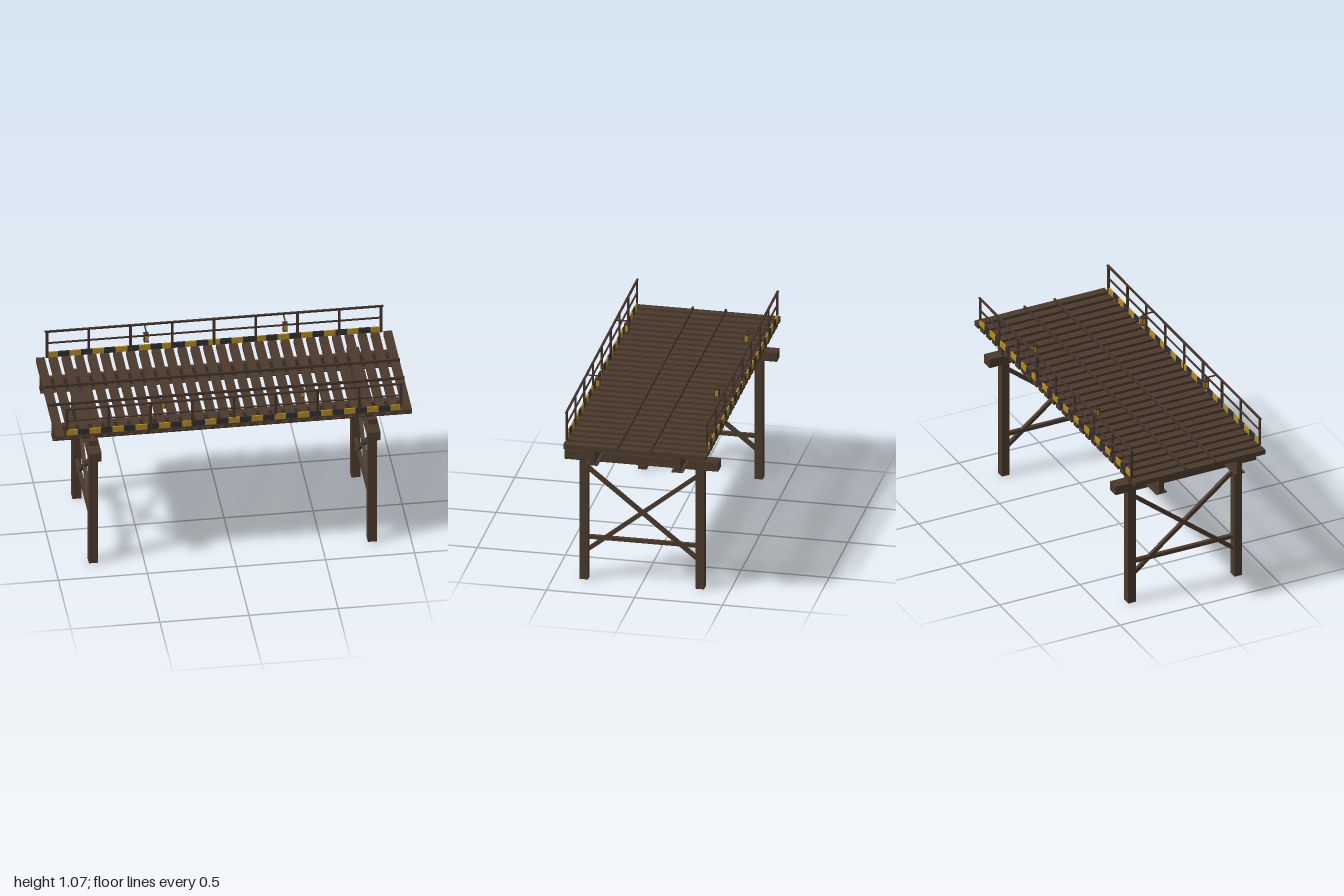
import * as THREE from 'three';

const mat = (name, color) => {
  const m = new THREE.MeshStandardMaterial({ color });
  m.name = name;
  return m;
};

export function createModel() {
  const wood = mat('dark timber', 0x4b3a2c);
  const iron = mat('rusty iron', 0x43342a);
  const yellow = mat('warning yellow', 0xb08a20);
  const black = mat('warning black', 0x2e2e30);
  const glass = mat('lamp glass', 0xb58a1c);

  const model = new THREE.Group();
  model.name = 'trestleBridge';

  // Box given by its size and centre
  const box = (parent, name, material, w, h, d, x, y, z) => {
    const mesh = new THREE.Mesh(new THREE.BoxGeometry(w, h, d), material);
    mesh.name = name;
    mesh.position.set(x, y, z);
    parent.add(mesh);
    return mesh;
  };

  // Trestles: two legs, a cap beam, crossed braces and a tie
  for (const sx of [-1, 1]) {
    const trestle = new THREE.Group();
    trestle.name = 'trestle';
    trestle.position.x = sx * 0.783;
    for (const sz of [-1, 1]) {
      box(trestle, 'leg', wood, 0.05, 0.812, 0.048, 0, 0.406, sz * 0.33);
      const brace = box(trestle, 'crossBrace', wood, 0.02, 0.022, 0.8, 0, 0.423, 0);
      brace.rotation.x = sz * Math.atan2(0.49, 0.612);
    }
    box(trestle, 'capBeam', wood, 0.07, 0.054, 0.874, 0, 0.752, 0);
    box(trestle, 'tieBeam', wood, 0.022, 0.021, 0.62, 0, 0.252, 0);
    model.add(trestle);
  }

  // Deck planks
  const planks = 28;
  for (let i = 0; i < planks; i++) {
    const x = -0.9755 + (1.951 * i) / (planks - 1);
    box(model, 'plank', wood, 0.048, 0.028, 0.81, x, 0.878, 0);
  }

  // Girders, track rails, toe boards, railings and lamps on both sides
  for (const s of [-1, 1]) {
    box(model, 'girderWeb', wood, 2, 0.085, 0.032, 0, 0.8215, s * 0.2425);
    box(model, 'girderFlange', wood, 2, 0.007, 0.066, 0, 0.7825, s * 0.2425);
    box(model, 'trackRail', iron, 2, 0.015, 0.01, 0, 0.8995, s * 0.093);

    // Striped toe board
    const stripes = 29, w = 1.884 / stripes;
    for (let i = 0; i < stripes; i++) {
      box(model, 'toeBoardStripe', i % 2 ? black : yellow, w, 0.034, 0.008,
        -0.942 + w * (i + 0.5), 0.91, s * 0.4);
    }

    // Railing
    for (let i = 0; i < 9; i++) {
      box(model, 'railingPost', iron, 0.014, 0.172, 0.01, -0.938 + i * 0.2345, 0.978, s * 0.399);
    }
    box(model, 'handrail', iron, 1.9, 0.01, 0.011, 0, 1.063, s * 0.399);
    box(model, 'midRail', iron, 1.88, 0.008, 0.008, 0, 0.987, s * 0.399);

    // Hanging lanterns
    for (const x of [-0.39, 0.39]) {
      const lamp = new THREE.Group();
      lamp.name = 'lantern';
      lamp.position.set(x, 0, s * 0.339);
      box(lamp, 'lampArm', iron, 0.007, 0.006, 0.064, 0, 1.055, s * 0.028);
      box(lamp, 'lampHanger', iron, 0.004, 0.016, 0.004, 0, 1.047, 0);
      box(lamp, 'lampCap', iron, 0.028, 0.008, 0.028, 0, 1.037, 0);
      box(lamp, 'lampGlass', glass, 0.021, 0.04, 0.021, 0, 1.014, 0);
      box(lamp, 'lampBase', iron, 0.028, 0.005, 0.028, 0, 0.9925, 0);
      for (const cx of [-1, 1]) for (const cz of [-1, 1]) {
        box(lamp, 'lampCorner', iron, 0.004, 0.042, 0.004, cx * 0.011, 1.014, cz * 0.011);
      }
      model.add(lamp);
    }
  }
  return model;
}
